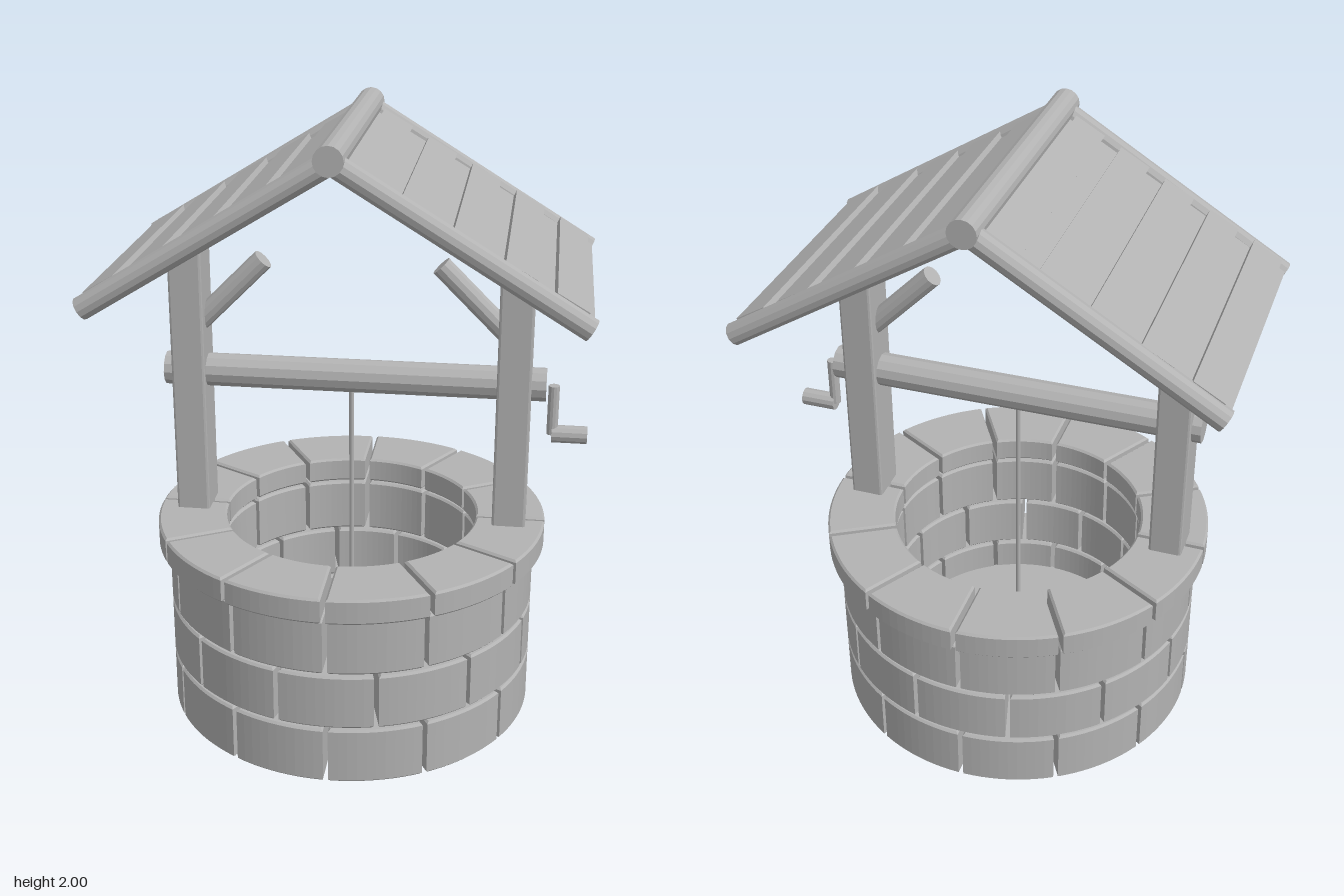
import * as THREE from 'three';
import { RoundedBoxGeometry } from 'three/addons/geometries/RoundedBoxGeometry.js';

const grey = new THREE.MeshStandardMaterial({ color: 0xb2b2b2, flatShading: true });
grey.name = 'plain grey';

function add(parent, name, geometry) {
  const mesh = new THREE.Mesh(geometry, grey);
  mesh.name = name;
  parent.add(mesh);
  return mesh;
}

// Round timber between two points
function pole(parent, name, from, to, radius, sides = 12) {
  const a = new THREE.Vector3(...from), b = new THREE.Vector3(...to);
  const dir = b.clone().sub(a);
  const mesh = add(parent, name, new THREE.CylinderGeometry(radius, radius, dir.length(), sides));
  mesh.position.copy(a).add(b).multiplyScalar(0.5);
  mesh.quaternion.setFromUnitVectors(new THREE.Vector3(0, 1, 0), dir.normalize());
  return mesh;
}

// Bevelled block filling one sector of a ring, with parallel-sided joints
function stoneGeometry(inner, outer, height, count) {
  const half = Math.PI / count, gap = 0.008, bevel = 0.007;
  const ao = half - Math.asin(gap / outer), ai = half - Math.asin(gap / inner);
  const shape = new THREE.Shape();
  shape.absarc(0, 0, outer, -ao, ao, false);
  shape.absarc(0, 0, inner, ai, -ai, true);
  shape.closePath();
  const geometry = new THREE.ExtrudeGeometry(shape, {
    depth: height - 2 * bevel, curveSegments: 5,
    bevelEnabled: true, bevelSegments: 1, bevelSize: bevel, bevelThickness: bevel, bevelOffset: -bevel,
  });
  return geometry.translate(0, 0, bevel).rotateX(-Math.PI / 2);
}

function stoneRing(parent, name, y0, y1, inner, outer, shift) {
  const ring = new THREE.Group();
  ring.name = name;
  const count = 12, geometry = stoneGeometry(inner, outer, y1 - y0, count);
  for (let i = 0; i < count; i++) {
    const stone = add(ring, 'stone', geometry);
    stone.position.y = y0;
    stone.rotation.y = ((i + shift) / count) * Math.PI * 2;
  }
  parent.add(ring);
}

export function createModel() {
  const model = new THREE.Group();
  model.name = 'well';

  // Staggered wall courses, capstones and floor
  stoneRing(model, 'lowerCourse', 0, 0.19, 0.425, 0.613, 0.5);
  stoneRing(model, 'middleCourse', 0.198, 0.383, 0.425, 0.613, 0);
  stoneRing(model, 'upperCourse', 0.391, 0.576, 0.425, 0.613, 0.5);
  stoneRing(model, 'capstones', 0.585, 0.67, 0.42, 0.648, 0.5);
  add(model, 'wellFloor', new THREE.CylinderGeometry(0.43, 0.43, 0.01, 48)).position.y = 0.075;

  // Posts and diagonal braces
  for (const s of [-1, 1]) {
    const post = add(model, 'post', new RoundedBoxGeometry(0.11, 1.025, 0.14, 1, 0.008));
    post.position.set(s * 0.53, 1.0875, 0);
    pole(model, 'brace', [s * 0.52, 1.295, 0], [s * 0.285, 1.53, 0], 0.035);
  }

  // Windlass, crank and rope
  pole(model, 'windlass', [-0.615, 1.148, 0], [0.632, 1.148, 0], 0.055);
  pole(model, 'crankArm', [0.657, 0.98, 0], [0.657, 1.146, 0], 0.018);
  pole(model, 'crankHandle', [0.655, 0.98, 0], [0.77, 0.98, 0], 0.029);
  pole(model, 'rope', [0, 0.3, 0], [0, 1.13, 0], 0.008, 8);

  // Roof: ridge log, rake logs, and boarded slopes
  pole(model, 'ridgeLog', [0, 1.955, -0.49], [0, 1.955, 0.49], 0.045, 16);
  const ridgeY = 1.945, eaveX = 0.752, eaveY = 1.485;
  for (const s of [-1, 1]) {
    for (const z of [-0.45, 0.45]) {
      pole(model, 'rakeLog', [0, ridgeY, z], [s * eaveX, eaveY, z], 0.036);
    }
    const slope = new THREE.Group();
    slope.name = s < 0 ? 'rightRoofSlope' : 'leftRoofSlope';
    slope.position.y = 1.928;
    slope.rotation.y = s < 0 ? Math.PI : 0;
    const pitched = new THREE.Group();
    pitched.name = 'roofBoards';
    pitched.rotation.z = -Math.atan2(0.443, 0.752);
    add(pitched, 'roofSheet', new THREE.BoxGeometry(0.87, 0.03, 0.86)).position.set(0.435, 0.005, 0);
    for (let i = 0; i < 5; i++) {
      const board = add(pitched, 'roofBoard', new THREE.BoxGeometry(0.11, 0.02, 0.88));
      board.position.set(0.095 + i * 0.173, 0.028, 0);
    }
    slope.add(pitched);
    model.add(slope);
  }
  return model;
}
